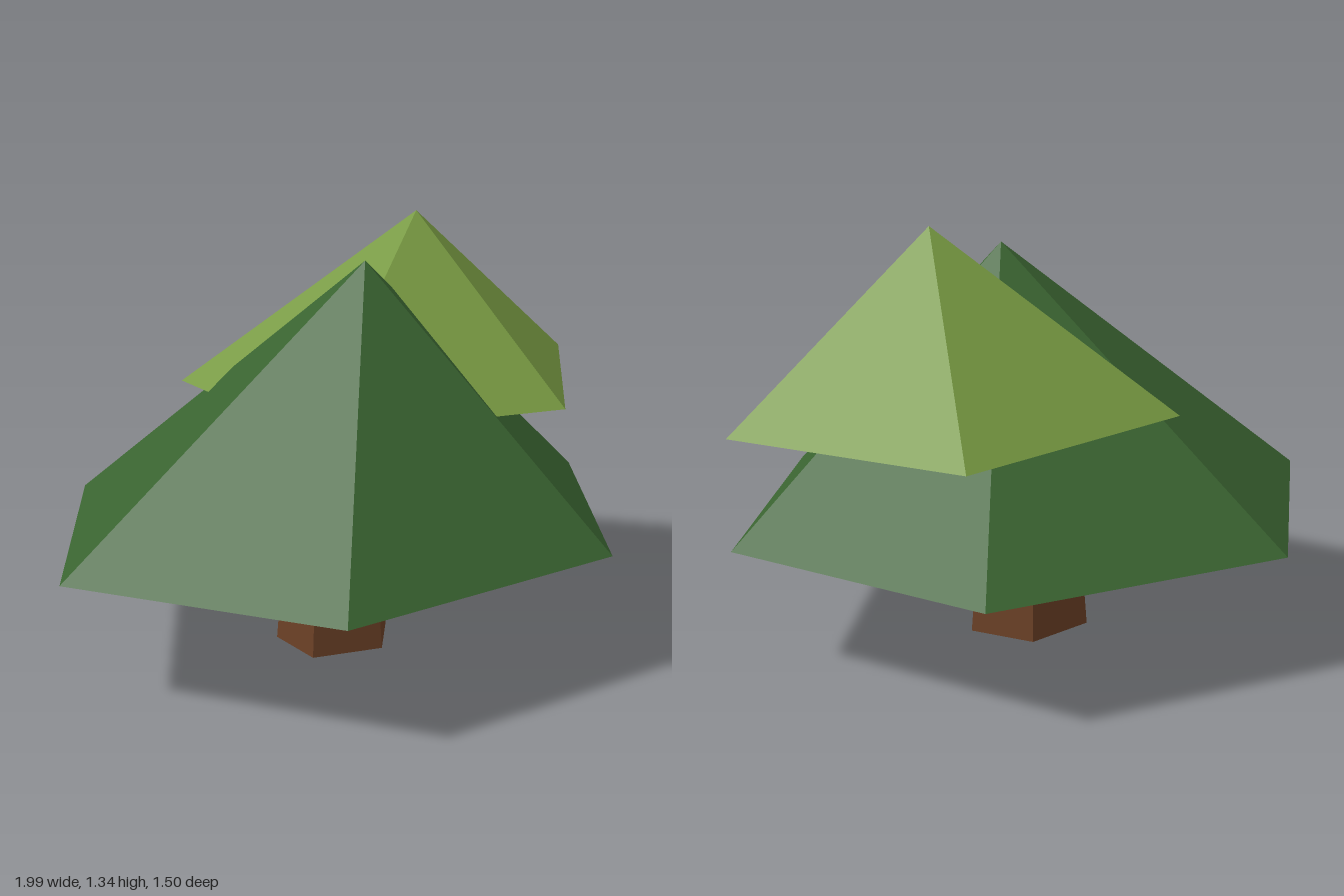
import * as THREE from 'three';

// one flat-shaded material per colour
function flat(name, color) {
  const material = new THREE.MeshStandardMaterial({ color, flatShading: true });
  material.name = name;
  return material;
}

// tapered prism with its first corner on +x, squashed in z and standing on y = 0
function prism(sides, rTop, rBottom, height, zScale) {
  return new THREE.CylinderGeometry(rTop, rBottom, height, sides)
    .rotateY(Math.PI / 2)
    .scale(1, 1, zScale)
    .translate(0, height / 2, 0);
}

// closed pyramid whose tip is shifted sideways by (tipX, tipZ)
function foliage(sides, radius, height, zScale, tipX, tipZ) {
  const geometry = prism(sides, 0, radius, height, zScale);
  const p = geometry.attributes.position;
  for (let i = 0; i < p.count; i++) {
    const t = p.getY(i) / height;
    p.setX(i, p.getX(i) + tipX * t);
    p.setZ(i, p.getZ(i) + tipZ * t);
  }
  const result = geometry.toNonIndexed();
  result.computeVertexNormals();
  return result;
}

export function createModel() {
  const tree = new THREE.Group();
  tree.name = 'tree';

  const add = (name, geometry, material, x, y, z) => {
    const mesh = new THREE.Mesh(geometry, material);
    mesh.name = name;
    mesh.position.set(x, y, z);
    tree.add(mesh);
  };

  // five-sided trunk, reaching just inside the foliage
  add('trunk', prism(5, 0.165, 0.199, 0.41, 0.87), flat('bark brown', 0x6b4026), -0.019, 0, 0);

  // wide six-sided lower crown
  add('lowerFoliage', foliage(6, 0.98, 0.84, 0.883, 0.06, 0.07), flat('dark green', 0x3a6431), -0.02, 0.4, 0);

  // smaller five-sided upper crown, set off to one side
  add('upperFoliage', foliage(5, 0.709, 0.55, 0.875, 0.05, 0.05), flat('light green', 0x789a42), 0.283, 0.79, -0.11);

  return tree;
}
